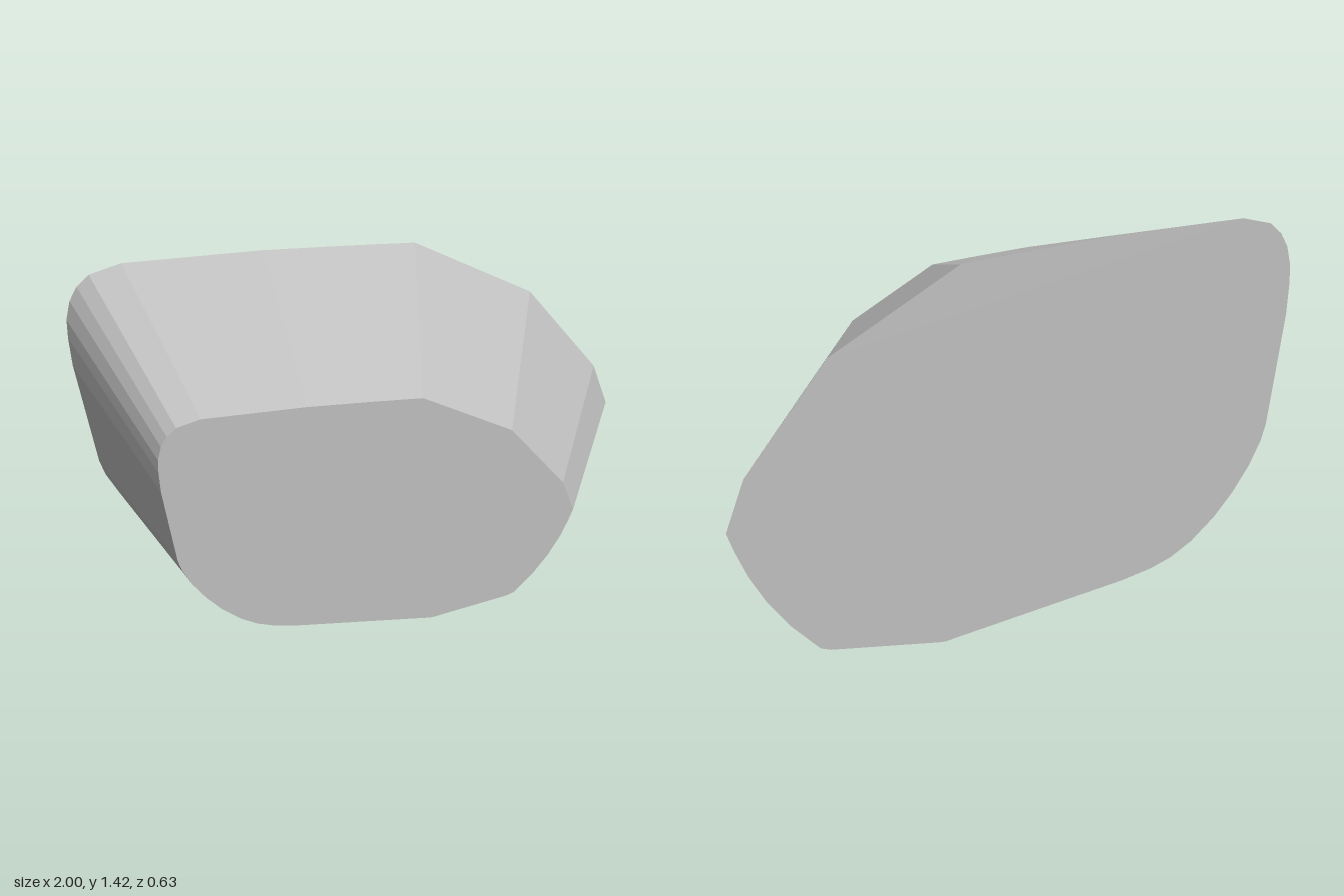
import * as THREE from 'three';

// Rear outline, counter-clockwise as seen from the front
const OUTLINE = [
  [1, 0.6], [0.93, 0.78], [0.645, 1.14], [0.21, 1.385], [-0.03, 1.4], [-0.32, 1.415],
  [-0.79, 1.42], [-0.9, 1.39], [-0.945, 1.35], [-0.975, 1.3], [-0.995, 1.23], [-1, 1.16],
  [-1, 1.05], [-0.965, 0.63], [-0.95, 0.565], [-0.91, 0.47], [-0.85, 0.37], [-0.78, 0.28],
  [-0.69, 0.195], [-0.61, 0.145], [-0.53, 0.115], [-0.41, 0.09], [0.24, 0.006], [0.28, 0],
  [0.31, 0.004], [0.69, 0.075], [0.725, 0.09], [0.82, 0.205], [0.89, 0.315], [0.945, 0.43],
  [0.98, 0.53],
];
const HALF_DEPTH = 0.313;

export function createModel() {
  const group = new THREE.Group();
  const stone = new THREE.MeshStandardMaterial({ color: 0xc0c0c0 });
  stone.name = 'stone grey';

  const back = OUTLINE.map(([x, y]) => new THREE.Vector2(x, y));
  // The front face is the same outline, shrunk and shifted
  const front = back.map((p) => new THREE.Vector2(p.x * 0.7 - 0.06, p.y * 0.7 + 0.2));

  const addPart = (name, geometry) => {
    const mesh = new THREE.Mesh(geometry, stone);
    mesh.name = name;
    group.add(mesh);
    return mesh;
  };

  // Flat end faces
  addPart('frontFace', new THREE.ShapeGeometry(new THREE.Shape(front)).translate(0, 0, HALF_DEPTH));
  const rear = new THREE.Shape(back.map((p) => new THREE.Vector2(-p.x, p.y)).reverse());
  addPart('backFace', new THREE.ShapeGeometry(rear).rotateY(Math.PI).translate(0, 0, -HALF_DEPTH));

  // Sloping faceted sides between the two outlines
  const positions = [];
  const push = (p, z) => positions.push(p.x, p.y, z);
  for (let i = 0; i < back.length; i++) {
    const j = (i + 1) % back.length;
    push(back[i], -HALF_DEPTH); push(back[j], -HALF_DEPTH); push(front[j], HALF_DEPTH);
    push(back[i], -HALF_DEPTH); push(front[j], HALF_DEPTH); push(front[i], HALF_DEPTH);
  }
  const sides = new THREE.BufferGeometry();
  sides.setAttribute('position', new THREE.Float32BufferAttribute(positions, 3));
  sides.computeVertexNormals();
  addPart('slopedSides', sides);

  return group;
}
